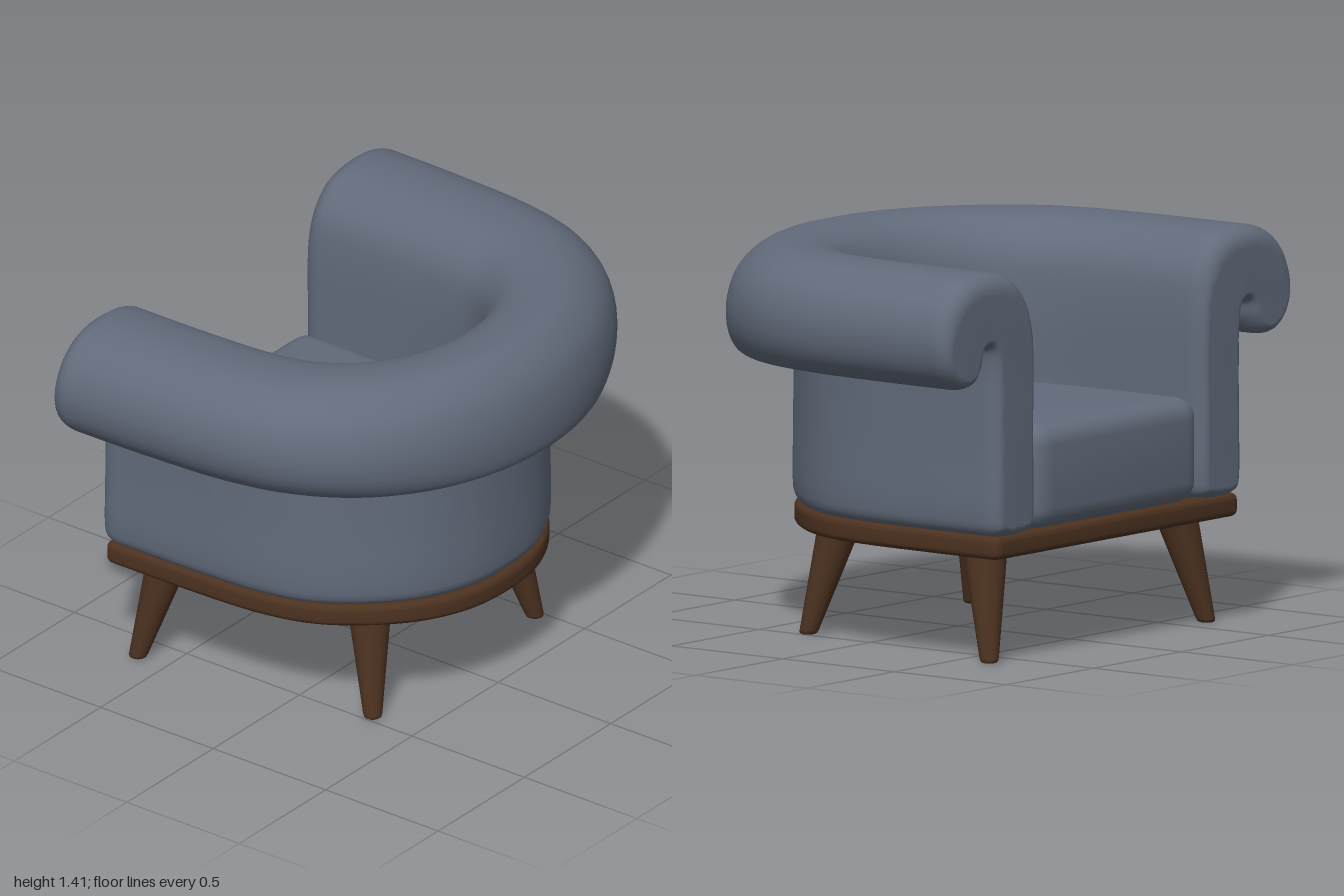
import * as THREE from 'three';
import { toCreasedNormals } from 'three/addons/utils/BufferGeometryUtils.js';

const fabric = new THREE.MeshStandardMaterial({ color: 0x626b7b });
fabric.name = 'slate fabric';
const wood = new THREE.MeshStandardMaterial({ color: 0x4c3220 });
wood.name = 'dark wood';

const FRONT = -0.73, ROUND = 0.07;

// Half plans [x, z] of the chair's U, from the open front to the middle of the back
const INNER = [[FRONT + ROUND, 0.47], [-0.4, 0.469], [-0.1, 0.453], [0.065, 0.412], [0.175, 0.33], [0.245, 0.22], [0.283, 0.11], [0.295, 0]];
const WALL = [[FRONT + ROUND, 0.705], [-0.4, 0.703], [-0.06, 0.685], [0.14, 0.633], [0.31, 0.52], [0.45, 0.365], [0.53, 0.185], [0.55, 0]];
const OUTER = [[FRONT + ROUND, 1.0], [-0.4, 0.995], [-0.02, 0.968], [0.22, 0.903], [0.43, 0.765], [0.598, 0.545], [0.697, 0.285], [0.73, 0]];

// Full U, mirrored about z = 0
function plan(half) {
  const mirrored = half.slice(0, -1).reverse().map(([x, z]) => [x, -z]);
  return new THREE.CatmullRomCurve3([...half, ...mirrored].map(([x, z]) => new THREE.Vector3(x, 0, z)));
}

// Closed profiles [distance outwards, y]: straight wall with an outward scroll on top
const FOOT_IN = [[0.52, 0.455], [0.485, 0.472], [0.47, 0.51], [0.47, 0.8], [0.47, 1.15]];
const FOOT_OUT = [[0.702, 1.06], [0.70, 0.95], [0.70, 0.75], [0.70, 0.51], [0.685, 0.472], [0.65, 0.455]];
const ARM = [...FOOT_IN, [0.495, 1.28], [0.58, 1.375], [0.72, 1.405], [0.86, 1.385], [0.96, 1.31], [1.0, 1.2],
  [0.978, 1.08], [0.90, 1.01], [0.81, 1.015], [0.765, 1.075], [0.748, 1.13], [0.717, 1.13], ...FOOT_OUT];
const BACK = [...FOOT_IN, [0.485, 1.28], [0.54, 1.37], [0.65, 1.405], [0.80, 1.39], [0.94, 1.30], [0.993, 1.19],
  [1.0, 1.08], [0.975, 1.012], [0.84, 1.01], [0.77, 1.06], [0.748, 1.12], [0.717, 1.12], ...FOOT_OUT];

function smoothProfile(points) {
  const curve = new THREE.CatmullRomCurve3(points.map(([d, y]) => new THREE.Vector3(d, y, 0)), true);
  return curve.getPoints(points.length * 4).slice(0, -1);
}

// Moves profile points inwards along their normals, more on the scroll's crown than below it
function inset(profile, amount) {
  const n = profile.length;
  return profile.map((p, i) => {
    const t = profile[(i + 1) % n].clone().sub(profile[(i + n - 1) % n]).normalize();
    const depth = amount * THREE.MathUtils.lerp(0.55, 1, THREE.MathUtils.smoothstep(p.y, 1.12, 1.32));
    return new THREE.Vector3(p.x + t.y * depth, p.y - t.x * depth, 0);
  });
}

// Sweeps the profile round the U, with rounded ends and flat caps
function makeShell() {
  const curves = [INNER, WALL, OUTER].map(plan);
  const arm = smoothProfile(ARM), back = smoothProfile(BACK);
  const positions = [], index = [], n = arm.length;

  function addRing(t, profile, shift) {
    const [a, b, c] = curves.map((curve) => curve.getPoint(t));
    for (const p of profile) {
      const q = p.x < 0.7
        ? a.clone().lerp(b, (p.x - 0.47) / 0.23)
        : b.clone().lerp(c, (p.x - 0.7) / 0.3);
      positions.push(q.x - shift, p.y, q.z);
    }
  }

  const END = 6, STEPS = 72;
  const endRing = (t, k) => {
    const a = (k / END) * Math.PI / 2;
    addRing(t, inset(arm, ROUND * (1 - Math.cos(a))), ROUND * Math.sin(a));
  };
  for (let k = END; k > 0; k--) endRing(0, k);
  for (let i = 0; i <= STEPS; i++) {
    const t = i / STEPS;
    const w = THREE.MathUtils.smoothstep(1 - Math.abs(2 * t - 1), 0.3, 1);
    addRing(t, arm.map((p, j) => p.clone().lerp(back[j], w)), 0);
  }
  for (let k = 1; k <= END; k++) endRing(1, k);

  const rings = positions.length / 3 / n;
  for (let r = 0; r < rings - 1; r++) {
    for (let j = 0; j < n; j++) {
      const a = r * n + j, b = r * n + (j + 1) % n;
      index.push(a, b, a + n, b, b + n, a + n);
    }
  }

  // Arm front caps
  const flat = inset(arm, ROUND).map((p) => new THREE.Vector2(p.x, p.y));
  const last = (rings - 1) * n;
  for (const [i, j, k] of THREE.ShapeUtils.triangulateShape(flat, [])) {
    const ccw = THREE.ShapeUtils.area([flat[i], flat[j], flat[k]]) > 0;
    const [p, q] = ccw ? [j, k] : [k, j];
    index.push(i, p, q, last + i, last + q, last + p);
  }

  const geometry = new THREE.BufferGeometry();
  geometry.setAttribute('position', new THREE.Float32BufferAttribute(positions, 3));
  geometry.setIndex(index);
  geometry.computeVertexNormals();
  return geometry;
}

// Slab with a D-shaped outline and rounded edges, between two heights
function makeSlab(half, front, grow, bottom, top, bevel, corner) {
  const outline = plan(half).getPoints(72).map((p) => new THREE.Vector2(p.x, -p.z * (1 + grow)));
  const w = half[0][1] * (1 + grow);
  const shape = new THREE.Shape();
  shape.moveTo(front, w - corner);
  shape.lineTo(front, -w + corner);
  shape.quadraticCurveTo(front, -w, front + corner, -w);
  for (const p of outline) if (p.x > front + corner + 0.01) shape.lineTo(p.x, p.y);
  shape.lineTo(front + corner, w);
  shape.quadraticCurveTo(front, w, front, w - corner);
  const geometry = new THREE.ExtrudeGeometry(shape, {
    depth: top - bottom - 2 * bevel, bevelEnabled: true, bevelThickness: bevel,
    bevelSize: bevel, bevelOffset: -bevel, bevelSegments: 6, curveSegments: 6,
  });
  geometry.rotateX(-Math.PI / 2);
  geometry.translate(0, bottom + bevel, 0);
  return toCreasedNormals(geometry, Math.PI / 5);
}

// Tapered leg, sheared so its foot splays outwards
function makeLeg(topX, topZ, footX, footZ) {
  const height = 0.4;
  const profile = [[0, 0], [0.024, 0], [0.031, 0.004], [0.034, 0.014], [0.08, height]];
  const geometry = new THREE.LatheGeometry(profile.map(([r, y]) => new THREE.Vector2(r, y)), 28);
  const sx = (topX - footX) / height, sz = (topZ - footZ) / height;
  geometry.applyMatrix4(new THREE.Matrix4().set(1, sx, 0, footX, 0, 1, 0, 0, 0, sz, 1, footZ, 0, 0, 0, 1));
  return geometry;
}

export function createModel() {
  const chair = new THREE.Group();
  chair.name = 'armchair';
  const add = (name, geometry, material) => {
    const mesh = new THREE.Mesh(geometry, material);
    mesh.name = name;
    chair.add(mesh);
  };

  add('rolledArmsAndBack', makeShell(), fabric);
  add('seatCushion', makeSlab(INNER, FRONT, 0, 0.455, 0.83, 0.075, 0.09), fabric);
  add('baseFrame', makeSlab(WALL, -0.72, -0.015, 0.378, 0.46, 0.022, 0.035), wood);

  for (const side of [1, -1]) {
    const name = side > 0 ? 'Left' : 'Right';
    add('openSideLeg' + name, makeLeg(-0.545, side * 0.54, -0.627, side * 0.62), wood);
    add('backrestLeg' + name, makeLeg(0.222, side * 0.385, 0.303, side * 0.47), wood);
  }
  return chair;
}
